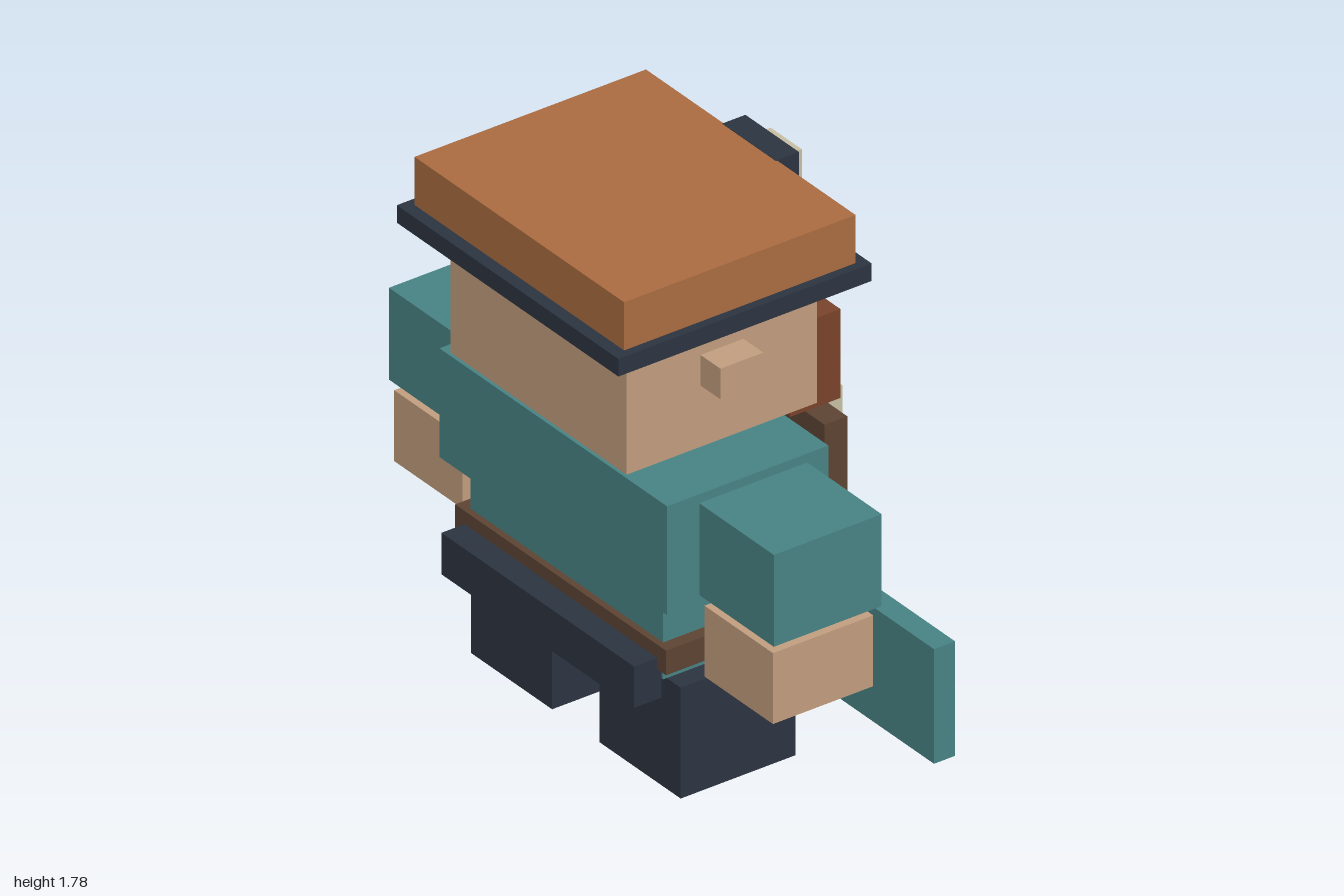
import * as THREE from 'three';

const mat = (name, color) => {
  const m = new THREE.MeshStandardMaterial({ color });
  m.name = name;
  return m;
};

export function createModel() {
  const group = new THREE.Group();
  group.name = 'blockFigure';

  const copper = mat('copper', 0xab6c41);
  const skin = mat('skin', 0xc29e7f);
  const teal = mat('teal', 0x488485);
  const navy = mat('navy', 0x2c3441);
  const rust = mat('rust', 0x7a432b);
  const brown = mat('brown', 0x5e4433);
  const cream = mat('cream', 0xc8c0a4);
  const steel = mat('steel', 0x93a0ab);

  // Box given by its x, y and z extents
  const box = (name, material, [x0, x1], [y0, y1], [z0, z1]) => {
    const mesh = new THREE.Mesh(new THREE.BoxGeometry(x1 - x0, y1 - y0, z1 - z0), material);
    mesh.position.set((x0 + x1) / 2, (y0 + y1) / 2, (z0 + z1) / 2);
    mesh.name = name;
    group.add(mesh);
  };
  // The body's plane of symmetry, and mirrored pairs measured outwards from it
  const mid = -0.045;
  const pair = (name, material, [a, b], ys, zs) => {
    box(name + 'Left', material, [mid + a, mid + b], ys, zs);
    box(name + 'Right', material, [mid - b, mid - a], ys, zs);
  };

  // Cap
  box('capCrown', copper, [-0.565, 0.475], [1.61, 1.775], [-0.38, 0.467]);
  box('capBrim', navy, [-0.595, 0.505], [1.55, 1.61], [-0.417, 0.51]);
  box('capBadge', navy, [-0.18, 0.087], [1.565, 1.776], [-0.46, -0.375]);
  box('badgePlate', cream, [-0.125, 0.03], [1.60, 1.74], [-0.512, -0.46]);

  // Head
  box('head', skin, [-0.48, 0.393], [1.12, 1.55], [-0.30, 0.398]);
  pair('ear', skin, [0.43, 0.537], [1.33, 1.435], [-0.03, 0.127]);
  pair('eye', navy, [0.155, 0.24], [1.365, 1.425], [-0.327, -0.295]);
  pair('brow', rust, [0.112, 0.282], [1.453, 1.487], [-0.357, -0.317]);

  // Beard
  box('beardTop', rust, [-0.41, 0.317], [1.05, 1.355], [-0.441, -0.257]);
  box('beardMiddle', rust, [-0.255, 0.168], [0.90, 1.06], [-0.43, -0.265]);
  box('beardPanel', brown, [-0.497, 0.407], [0.23, 1.045], [-0.40, -0.317]);
  pair('beardBraid', cream, [0.262, 0.36], [0.61, 1.09], [-0.45, -0.40]);

  // Torso, belt and hips
  box('chest', teal, [-0.61, 0.52], [0.68, 1.053], [-0.247, 0.343]);
  box('waist', teal, [-0.523, 0.433], [0.40, 0.685], [-0.20, 0.293]);
  box('belt', brown, [-0.57, 0.477], [0.443, 0.527], [-0.22, 0.315]);
  box('hips', navy, [-0.35, 0.26], [0.34, 0.42], [-0.22, 0.30]);
  box('rearTasset', navy, [-0.523, 0.433], [0.34, 0.482], [0.30, 0.40]);
  box('frontTasset', navy, [-0.523, 0.433], [0.34, 0.482], [-0.29, -0.20]);

  // Limbs
  pair('sleeve', teal, [0.585, 0.955], [0.722, 1.037], [-0.155, 0.24]);
  pair('hand', skin, [0.60, 0.94], [0.447, 0.69], [-0.135, 0.232]);
  pair('leg', navy, [0.118, 0.52], [0, 0.38], [-0.16, 0.26]);

  // Shield
  box('shield', teal, [0.467, 1.0], [0.18, 0.573], [-0.357, -0.28]);
  box('shieldBar', cream, [0.55, 0.91], [0.43, 0.466], [-0.39, -0.357]);

  // Forked tool
  const toolZ = [-0.252, -0.168];
  box('toolProngOuter', steel, [-0.99, -0.92], [0.497, 0.65], toolZ);
  box('toolProngInner', steel, [-0.808, -0.735], [0.497, 0.65], toolZ);
  box('toolShaft', steel, [-0.905, -0.82], [0.155, 0.52], [-0.25, -0.165]);

  return group;
}
